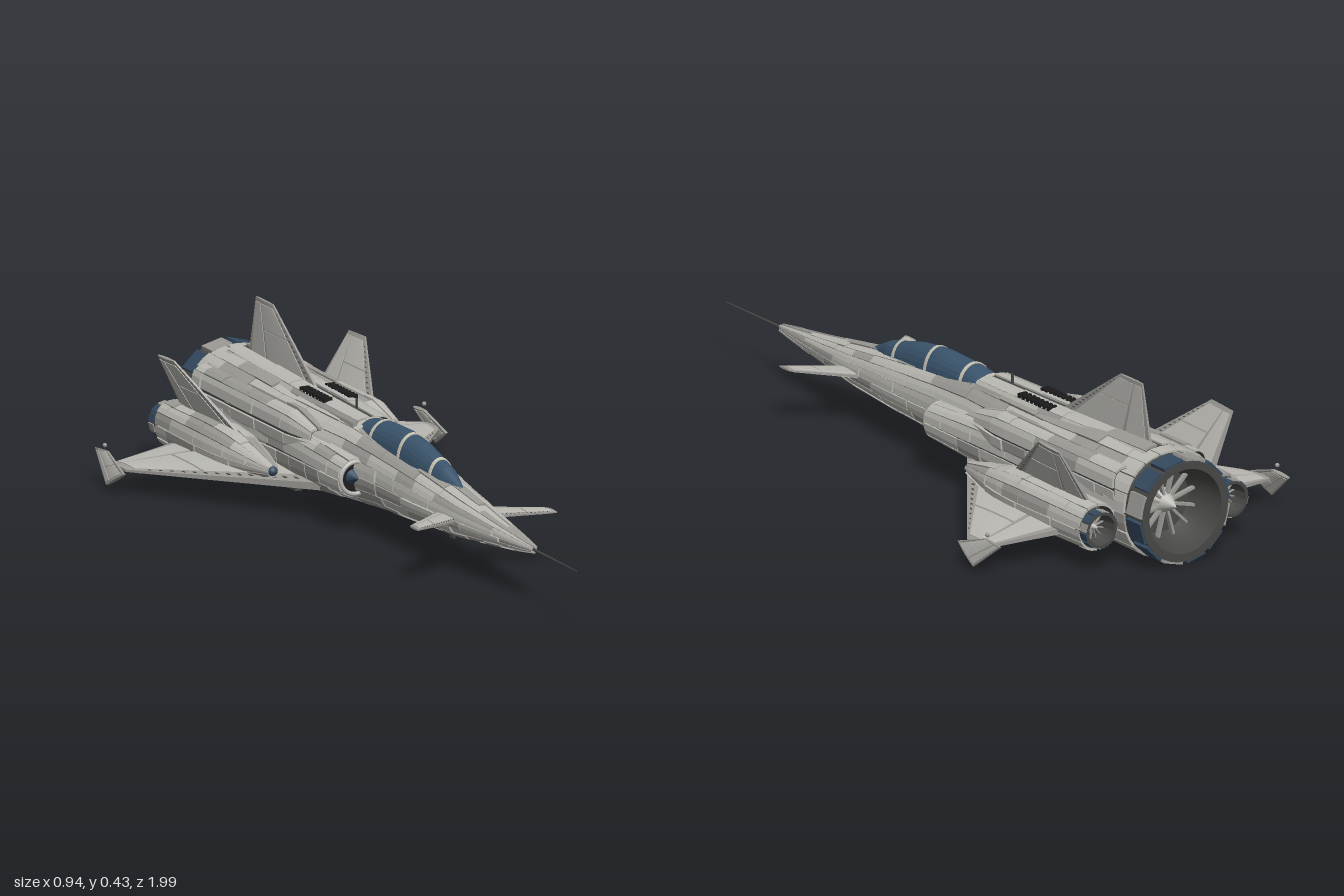
import * as THREE from 'three';
import { toCreasedNormals } from 'three/addons/utils/BufferGeometryUtils.js';

const mat = (name, color) => new THREE.MeshStandardMaterial({ name, color, side: THREE.DoubleSide });
const light = mat('light hull grey', 0xb9b8b2);
const mid = mat('mid hull grey', 0x9b9a95);
const dark = mat('dark seam grey', 0x484846);
const black = mat('vent black', 0x1c1c1d);
const glass = mat('canopy glass blue', 0x3a546c);
const blue = mat('engine blue', 0x34495f);
const tan = mat('frame tan', 0xc9c5b4);

let seed = 7;
const rnd = () => (seed = (seed * 16807) % 2147483647) / 2147483647;

function mesh(parent, name, geo, material, x = 0, y = 0, z = 0) {
  const m = new THREE.Mesh(geo, material);
  m.name = name;
  m.position.set(x, y, z);
  parent.add(m);
  return m;
}

// flat-shaded mesh from a list of triangle corners
function soup(parent, name, pts, material) {
  const g = new THREE.BufferGeometry();
  g.setAttribute('position', new THREE.Float32BufferAttribute(pts.flat(), 3));
  g.computeVertexNormals();
  return mesh(parent, name, g, material);
}
const quad = (out, a, b, c, d) => out.push(a, b, c, a, c, d);

// raised patch on a surface S(u, v, lift), with skirts down to lift 0
function patch(out, S, u0, u1, v0, v1, lift, nu = 1, nv = 1) {
  const U = i => u0 + (u1 - u0) * i / nu, V = j => v0 + (v1 - v0) * j / nv;
  for (let i = 0; i < nu; i++) for (let j = 0; j < nv; j++)
    quad(out, S(U(i), V(j), lift), S(U(i + 1), V(j), lift), S(U(i + 1), V(j + 1), lift), S(U(i), V(j + 1), lift));
  if (!lift) return;
  for (let i = 0; i < nu; i++) {
    quad(out, S(U(i), v0, 0), S(U(i + 1), v0, 0), S(U(i + 1), v0, lift), S(U(i), v0, lift));
    quad(out, S(U(i), v1, lift), S(U(i + 1), v1, lift), S(U(i + 1), v1, 0), S(U(i), v1, 0));
  }
  for (let j = 0; j < nv; j++) {
    quad(out, S(u0, V(j), lift), S(u0, V(j + 1), lift), S(u0, V(j + 1), 0), S(u0, V(j), 0));
    quad(out, S(u1, V(j), 0), S(u1, V(j + 1), 0), S(u1, V(j + 1), lift), S(u1, V(j), lift));
  }
}

// rounded body through rows of [z, centre y, half width, top y, bottom y]
function loft(rows, cx = 0, n = 2) {
  return (z, a, lift = 0) => {
    let i = 0;
    while (i < rows.length - 2 && z < rows[i + 1][0]) i++;
    const t = (z - rows[i][0]) / (rows[i + 1][0] - rows[i][0]);
    const [, cy, hw, top, bot] = rows[i].map((v, k) => v + (rows[i + 1][k] - v) * t);
    const c = Math.cos(a), s = Math.sin(a), p = v => Math.sign(v) * Math.abs(v) ** (2 / n);
    return [cx + hw * p(c) + lift * c, cy + (s > 0 ? top - cy : cy - bot) * p(s) + lift * s, z];
  };
}

// dark core covered by staggered armour plates
function plated(parent, name, rows, cx, n, strips, len) {
  const S = loft(rows, cx, n), z0 = rows[0][0], z1 = rows[rows.length - 1][0];
  const core = [], a = [], b = [];
  patch(core, S, z0, z1, 0, Math.PI * 2, 0, 40, strips * 2);
  soup(parent, name + 'Core', core, dark);
  const w = Math.PI * 2 / strips;
  for (let i = 0; i < strips; i++) {
    for (let z = z0; z > z1 + 0.01;) {
      let e = Math.max(z - len * (0.6 + rnd() * 0.8), z1);
      if (e - z1 < len * 0.3) e = z1;
      const r = rnd();
      patch(r < 0.72 ? a : b, S, z - 0.002, e + 0.002, (i + 0.03) * w, (i + 0.97) * w, 0.003 + rnd() * 0.005, 3, 2);
      z = e;
    }
  }
  soup(parent, name + 'LightPlates', a, light);
  soup(parent, name + 'MidPlates', b, mid);
}

// tapered slab from root front, tip front, tip back, root back; inset panels and rivets
function blade(parent, name, P, tRoot, tTip) {
  const [A, B, C, D] = P.map(p => new THREE.Vector3(...p));
  const N = B.clone().sub(A).cross(D.clone().sub(A)).normalize();
  const side = k => (s, t, lift = 0) => A.clone().lerp(B, s).lerp(D.clone().lerp(C, s), t)
    .addScaledVector(N, k * ((tRoot + (tTip - tRoot) * s) * (0.25 + Math.sin(Math.PI * t) * 0.25) + lift)).toArray();
  const body = [], panels = [], dots = [], U = side(1), L = side(-1);
  for (const S of [U, L]) {
    patch(body, S, 0, 1, 0, 1, 0, 1, 6);
    patch(panels, S, 0.06, 0.56, 0.12, 0.68, 0.0015, 1, 4);
    patch(panels, S, 0.58, 0.94, 0.12, 0.68, 0.0015, 1, 4);
    patch(panels, S, 0.06, 0.94, 0.72, 0.95, 0.0015, 1, 2);
    for (let i = 0; i < 14; i++) patch(dots, S, 0.08 + i * 0.06, 0.095 + i * 0.06, 0.05, 0.08, 0.0015);
  }
  for (const s of [0, 1]) for (let i = 0; i < 6; i++)
    quad(body, U(s, i / 6), U(s, (i + 1) / 6), L(s, (i + 1) / 6), L(s, i / 6));
  for (const t of [0, 1]) quad(body, U(0, t), U(1, t), L(1, t), L(0, t));
  soup(parent, name, body, mid);
  soup(parent, name + 'Panels', panels, light);
  soup(parent, name + 'Rivets', dots, dark);
}

// exhaust of radius r pointing backwards, ending at z
function engine(parent, name, x, y, z, r, depth) {
  const g = new THREE.Group();
  g.name = name;
  g.position.set(x, y, z);
  parent.add(g);
  const prof = [[0.96, -depth], [0.9, -depth * 0.75], [0.93, -depth * 0.7], [0.95, 0], [0.8, 0], [0.77, -depth * 0.4], [0.6, -depth * 0.95], [0, -depth]];
  const lathe = new THREE.LatheGeometry(prof.map(([a, b]) => new THREE.Vector2(a * r, b)), 36).rotateX(-Math.PI / 2);
  mesh(g, 'nozzleShell', toCreasedNormals(lathe, 0.5), dark);
  mesh(g, 'nozzleLip', new THREE.TorusGeometry(r * 0.87, r * 0.06, 8, 36), mid, 0, 0, r * 0.06);
  mesh(g, 'hub', new THREE.ConeGeometry(r * 0.26, depth * 0.6, 16).rotateX(-Math.PI / 2), light, 0, 0, depth * 0.65);
  for (let i = 0; i < 12; i++) {
    const a = (i + 0.5) * Math.PI / 6, c = Math.cos(a), s = Math.sin(a);
    const p = mesh(g, 'nozzlePetal', new THREE.BoxGeometry(r * 0.07, r * 0.42, depth * 0.55), i % 3 ? blue : mid, c * r * 0.95, s * r * 0.95, depth * 0.29);
    p.rotation.z = a;
    const v = mesh(g, 'turbineVane', new THREE.BoxGeometry(r * 0.5, r * 0.05, depth * 0.12), mid, c * r * 0.4, s * r * 0.4, depth * 0.8);
    v.rotation.z = a;
  }
}

export function createModel() {
  const g = new THREE.Group();
  g.name = 'jetFighter';

  // fuselage
  plated(g, 'fuselage', [
    [0.76, 0.14, 0.004, 0.144, 0.136], [0.7, 0.14, 0.014, 0.152, 0.126], [0.55, 0.14, 0.034, 0.17, 0.108],
    [0.4, 0.142, 0.056, 0.192, 0.092], [0.2, 0.145, 0.073, 0.22, 0.08], [0, 0.15, 0.082, 0.24, 0.07],
    [-0.15, 0.15, 0.098, 0.258, 0.056], [-0.3, 0.15, 0.118, 0.264, 0.044], [-0.5, 0.148, 0.138, 0.27, 0.03],
    [-0.7, 0.146, 0.146, 0.28, 0.016], [-0.92, 0.145, 0.136, 0.28, 0.01]], 0, 2.2, 18, 0.13);
  engine(g, 'mainEngine', 0, 0.143, -0.99, 0.141, 0.11);

  // nose probe
  mesh(g, 'noseProbe', new THREE.CylinderGeometry(0.0015, 0.004, 0.25, 8).rotateX(Math.PI / 2), dark, 0, 0.14, 0.875);

  // canopy with frames
  const canopyRows = [[0.365, 0.193, 0.005, 0.2, 0.185], [0.28, 0.198, 0.029, 0.243, 0.18], [0.15, 0.208, 0.041, 0.275, 0.19],
    [0.05, 0.217, 0.046, 0.287, 0.2], [-0.08, 0.225, 0.047, 0.282, 0.2], [-0.155, 0.23, 0.046, 0.27, 0.2]];
  const C = loft(canopyRows), pane = [], frames = [];
  patch(pane, C, 0.365, -0.155, -0.3, Math.PI + 0.3, 0, 24, 16);
  for (const z of [0.235, 0.08, -0.075, -0.15]) patch(frames, C, z + 0.005, z - 0.005, -0.3, Math.PI + 0.3, 0.0025, 1, 16);
  for (const a of [-0.12, Math.PI - 0.1]) patch(frames, C, 0.34, -0.155, a, a + 0.22, 0.003, 16, 1);
  soup(g, 'canopyGlass', pane, glass);
  soup(g, 'canopyFrames', frames, tan);

  // dorsal spine behind the canopy, with louvres
  plated(g, 'spine', [[-0.15, 0.24, 0.048, 0.27, 0.2], [-0.45, 0.24, 0.055, 0.276, 0.2], [-0.88, 0.24, 0.05, 0.288, 0.2]], 0, 4, 8, 0.16);
  for (const x of [-0.036, 0.036]) for (let i = 0; i < 8; i++)
    mesh(g, 'louvre', new THREE.BoxGeometry(0.026, 0.012, 0.01), black, x, 0.278, -0.335 - i * 0.018);
  mesh(g, 'spineAntenna', new THREE.BoxGeometry(0.004, 0.025, 0.008), dark, 0, 0.288, -0.24);

  // central fin
  blade(g, 'dorsalFin', [[0, 0.265, -0.45], [0, 0.435, -0.71], [0, 0.435, -0.805], [0, 0.265, -0.845]], 0.014, 0.008);

  for (const s of [1, -1]) {
    const nm = n => (s > 0 ? 'left' : 'right') + n;
    // air intakes
    plated(g, nm('Intake'), [[-0.055, 0.147, 0.043, 0.19, 0.104], [-0.2, 0.147, 0.044, 0.2, 0.095], [-0.4, 0.145, 0.042, 0.21, 0.08], [-0.7, 0.14, 0.04, 0.21, 0.07]], s * 0.097, 2.6, 10, 0.11);
    mesh(g, nm('IntakeLip'), new THREE.TorusGeometry(0.042, 0.006, 8, 24), light, s * 0.097, 0.147, -0.055);
    mesh(g, nm('IntakeFan'), new THREE.CircleGeometry(0.042, 24), black, s * 0.097, 0.147, -0.07);
    mesh(g, nm('IntakeCone'), new THREE.ConeGeometry(0.02, 0.03, 16).rotateX(Math.PI / 2), blue, s * 0.097, 0.147, -0.056);
    // shoulder armour
    plated(g, nm('Shoulder'), [[-0.25, 0.2, 0.02, 0.225, 0.17], [-0.36, 0.2, 0.036, 0.25, 0.15], [-0.88, 0.2, 0.038, 0.25, 0.15]], s * 0.105, 3, 8, 0.14);
    // side engine pods
    plated(g, nm('Pod'), [[-0.325, 0.112, 0.01, 0.122, 0.102], [-0.42, 0.112, 0.034, 0.145, 0.082], [-0.52, 0.112, 0.052, 0.165, 0.06],
      [-0.62, 0.112, 0.057, 0.172, 0.05], [-0.88, 0.112, 0.052, 0.165, 0.055]], s * 0.195, 2.3, 12, 0.12);
    mesh(g, nm('PodSensor'), new THREE.SphereGeometry(0.013, 12, 8), blue, s * 0.195, 0.112, -0.328);
    engine(g, nm('PodEngine'), s * 0.205, 0.112, -0.912, 0.05, 0.05);
    // wing, tip plate, canted fin and canard
    blade(g, nm('Wing'), [[s * 0.12, 0.09, -0.21], [s * 0.445, 0.064, -0.66], [s * 0.452, 0.064, -0.735], [s * 0.12, 0.09, -0.81]], 0.04, 0.012);
    blade(g, nm('WingTip'), [[s * 0.45, 0.095, -0.75], [s * 0.458, 0.06, -0.64], [s * 0.468, 0.015, -0.72], [s * 0.452, 0.09, -0.815]], 0.012, 0.012);
    mesh(g, nm('TipLight'), new THREE.SphereGeometry(0.006, 8, 6), mid, s * 0.454, 0.109, -0.76);
    blade(g, nm('CantedFin'), [[s * 0.185, 0.15, -0.5], [s * 0.272, 0.315, -0.73], [s * 0.272, 0.31, -0.82], [s * 0.185, 0.15, -0.845]], 0.016, 0.008);
    blade(g, nm('Canard'), [[s * 0.045, 0.14, 0.42], [s * 0.198, 0.152, 0.497], [s * 0.198, 0.152, 0.452], [s * 0.045, 0.14, 0.32]], 0.014, 0.006);
    // belly strake
    mesh(g, nm('BellyStrake'), new THREE.BoxGeometry(0.02, 0.02, 0.4), dark, s * 0.085, 0.04, -0.6);
  }

  // belly antennas
  for (const [z, y] of [[0.3, 0.075], [0.12, 0.066], [-0.02, 0.062]])
    mesh(g, 'bellyAntenna', new THREE.BoxGeometry(0.006, 0.025, 0.02), dark, 0, y, z);
  return g;
}
